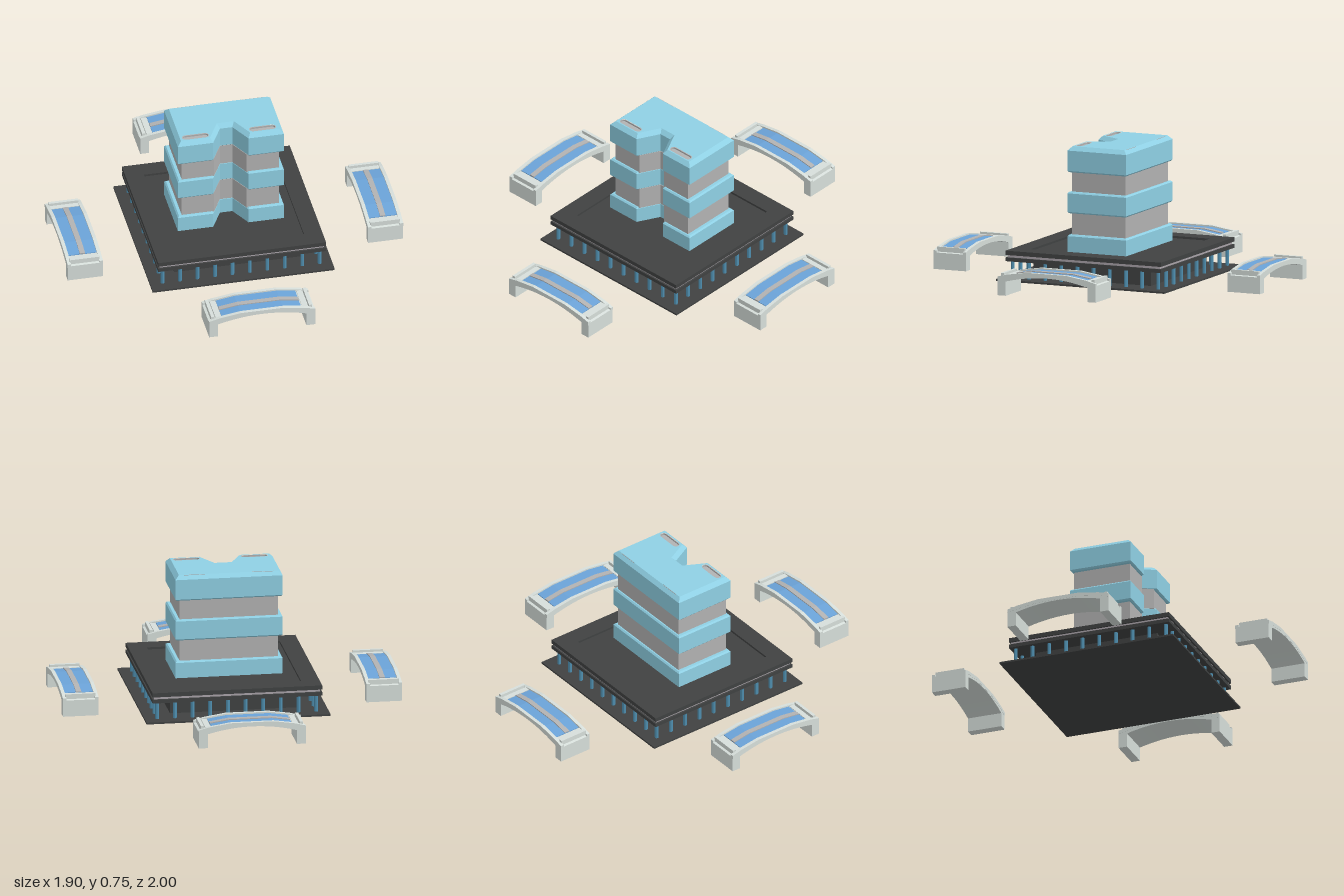
import * as THREE from 'three';

const mat = (color, extra = {}) => new THREE.MeshStandardMaterial({ color, flatShading: true, ...extra });
const BLUE = mat(0x8fd0e4), GREY = mat(0xb2b2b2), DARK = mat(0x404242), PILLAR = mat(0x4f8fb0);
const STONE = mat(0xd6deda), DECK = mat(0x6ba3d8), STRIP = mat(0xaaa4aa);

function add(parent, name, geometry, material, x = 0, y = 0, z = 0) {
  const mesh = new THREE.Mesh(geometry, material);
  mesh.name = name;
  mesh.position.set(x, y, z);
  parent.add(mesh);
  return mesh;
}

// Box standing between two heights
function slab(parent, name, w, d, y0, y1, material, x = 0, z = 0) {
  return add(parent, name, new THREE.BoxGeometry(w, y1 - y0, d), material, x, (y0 + y1) / 2, z);
}

const square = (h) => [[-h, -h], [h, -h], [h, h], [-h, h]].map(([x, y]) => new THREE.Vector2(x, y));

// Tower outline with the tapering notch in the front (y of the outline = z of the model)
function outline(hx, hz, inset = 0) {
  const side = (z) => 0.035 + (z - 0.055) * 0.52 + 1.13 * inset;
  const back = 0.055 - inset;
  return [[-hx, -hz], [hx, -hz], [hx, hz], [side(hz), hz], [side(back), back],
    [-side(back), back], [-side(hz), hz], [-hx, hz]].map(([x, z]) => new THREE.Vector2(x, z));
}

// Joins outlines stacked at rising heights; the ends are capped on request
function loft(levels, capTop = true) {
  const pos = [];
  const put = (p, y) => pos.push(p.x, y, p.y);
  for (let k = 0; k + 1 < levels.length; k++) {
    const [y0, a] = levels[k], [y1, b] = levels[k + 1];
    a.forEach((p, i) => {
      const j = (i + 1) % a.length;
      put(p, y0); put(b[i], y1); put(b[j], y1);
      put(p, y0); put(b[j], y1); put(a[j], y0);
    });
  }
  const cap = ([y, pts], up) => {
    for (const [a, b, c] of THREE.ShapeUtils.triangulateShape(pts, [])) {
      for (const i of up ? [a, c, b] : [a, b, c]) put(pts[i], y);
    }
  };
  cap(levels[0], false);
  if (capTop) cap(levels[levels.length - 1], true);
  const g = new THREE.BufferGeometry();
  g.setAttribute('position', new THREE.Float32BufferAttribute(pos, 3));
  g.computeVertexNormals();
  return g;
}

// Points of a capsule lying along x
function capsule(cx, cz, half, r) {
  const pts = [];
  for (let i = 0; i <= 15; i++) {
    const a = -Math.PI / 2 + (i > 7 ? i - 1 : i) * Math.PI / 7;
    pts.push(new THREE.Vector2(cx + (i > 7 ? -half : half) + r * Math.cos(a), cz + r * Math.sin(a)));
  }
  return pts;
}

// Flat shape in x and z, facing up
function flat(shape) {
  return new THREE.ShapeGeometry(shape).rotateX(Math.PI / 2);
}

function createTower() {
  const tower = new THREE.Group();
  tower.name = 'tower';
  const band = (i) => outline(0.30 - i, 0.18 - i, i);
  // Grey recessed storeys
  for (const [y0, y1] of [[0.25, 0.37], [0.49, 0.60]]) {
    const o = outline(0.275, 0.165);
    add(tower, 'recessedStorey', loft([[y0 - 0.005, o], [y1 + 0.005, o]]), GREY);
  }
  // Blue bands with softened edges
  const e = 0.008;
  add(tower, 'lowerBand', loft([[0.15, band(0)], [0.25 - e, band(0)], [0.25, band(e)]]), BLUE);
  add(tower, 'middleBand', loft([[0.37, band(e)], [0.37 + e, band(0)], [0.49 - e, band(0)], [0.49, band(e)]]), BLUE);
  add(tower, 'upperBand', loft([[0.60, band(e)], [0.60 + e, band(0)], [0.722, band(0)], [0.745, band(0.022)]], false), BLUE);
  // Roof with four rounded slots
  const roof = new THREE.Shape(band(0.022));
  const double = (m) => Object.assign(m.clone(), { side: THREE.DoubleSide });
  for (const x of [-0.19, 0.19]) for (const z of [-0.14, 0.13]) {
    roof.holes.push(new THREE.Path(capsule(x, z, 0.055, 0.021)));
    add(tower, 'roofSlotFloor', flat(new THREE.Shape(capsule(x, z, 0.055, 0.021))), double(GREY), 0, 0.735, 0);
    const wall = new THREE.Shape(capsule(x, z, 0.055, 0.021));
    wall.holes.push(new THREE.Path(capsule(x, z, 0.055, 0.016)));
    add(tower, 'roofSlotRim', new THREE.ExtrudeGeometry(wall, { depth: 0.01, bevelEnabled: false })
      .rotateX(Math.PI / 2), GREY, 0, 0.744, 0);
  }
  add(tower, 'roof', flat(roof), double(BLUE), 0, 0.745, 0);
  return tower;
}

function createPodium() {
  const podium = new THREE.Group();
  podium.name = 'podium';
  slab(podium, 'basePlate', 1.03, 1.03, 0, 0.01, DARK);
  slab(podium, 'podiumCore', 0.72, 0.72, 0.01, 0.11, DARK);
  slab(podium, 'lowerSlab', 0.95, 0.95, 0.107, 0.128, DARK);
  slab(podium, 'slabJoint', 0.93, 0.93, 0.128, 0.142, STRIP);
  slab(podium, 'terraceFloor', 0.76, 0.76, 0.14, 0.154, DARK);
  // Upper slab framing the sunken terrace
  const ring = new THREE.Shape(square(0.475));
  ring.holes.push(new THREE.Path(square(0.372)));
  add(podium, 'upperSlab', new THREE.ExtrudeGeometry(ring, { depth: 0.024, bevelEnabled: false })
    .rotateX(-Math.PI / 2), DARK, 0, 0.142, 0);
  // Pillars around the edge
  const pillar = new THREE.CylinderGeometry(0.011, 0.011, 0.1, 8);
  for (let i = 0; i < 10; i++) for (let j = 0; j < 10; j++) {
    if (i % 9 && j % 9) continue;
    add(podium, 'pillar', pillar, PILLAR, -0.445 + i * 0.0989, 0.06, -0.445 + j * 0.0989);
  }
  return podium;
}

// Height of the footbridge edge along its length
function crest(x) {
  const a = Math.abs(x);
  return a < 0.12 ? 0.138 : a < 0.24 ? 0.138 - (a - 0.12) * 0.15 : 0.12 - (a - 0.24) * 0.25;
}

function createBridge() {
  const bridge = new THREE.Group();
  bridge.name = 'footbridge';
  const extrude = (name, pts, width, material, z = 0) =>
    add(bridge, name, new THREE.ExtrudeGeometry(new THREE.Shape(pts.map((p) => new THREE.Vector2(...p))),
      { depth: width, bevelEnabled: false }), material, 0, 0, z - width / 2);
  // Strip that follows the crest between two offsets
  const strip = (name, half, lo, hi, width, material, z) => {
    const xs = [-half, -0.24, -0.12, 0.12, 0.24, half].filter((x) => Math.abs(x) <= half);
    extrude(name, [...xs.map((x) => [x, crest(x) + lo]), ...xs.reverse().map((x) => [x, crest(x) + hi])],
      width, material, z);
  };
  // Arched body with legs
  const body = [[-0.3, 0], [-0.25, 0], [-0.25, 0.08]];
  for (let i = 1; i < 12; i++) {
    const x = -0.25 + i * 0.5 / 12;
    body.push([x, 0.08 + 0.034 * (1 - (x / 0.25) ** 2)]);
  }
  body.push([0.25, 0.08], [0.25, 0], [0.3, 0]);
  for (const x of [0.3, 0.24, 0.12, -0.12, -0.24, -0.3]) body.push([x, crest(x) - 0.012]);
  extrude('bridgeArch', body, 0.198, STONE);
  // Deck, centre stripe and edge kerbs
  strip('bridgeDeck', 0.225, -0.016, -0.008, 0.162, DECK, 0);
  strip('bridgeStripe', 0.225, -0.014, -0.003, 0.03, GREY, 0);
  for (const s of [-1, 1]) {
    strip('bridgeKerb', 0.3, -0.02, 0, 0.02, STONE, s * 0.09);
    // Raised sill at each end
    slab(bridge, 'bridgeSill', 0.018, 0.168, 0.09, 0.124, STONE, s * 0.277);
    slab(bridge, 'bridgeLanding', 0.03, 0.16, 0.09, 0.114, STONE, s * 0.245);
  }
  return bridge;
}

export function createModel() {
  const model = new THREE.Group();
  model.name = 'officeTower';
  model.add(createPodium(), createTower());
  // A footbridge on each side
  for (const [x, z] of [[0, 0.9], [0, -0.9], [0.85, 0], [-0.85, 0]]) {
    const bridge = createBridge();
    bridge.position.set(x, 0, z);
    if (x) bridge.rotation.y = Math.PI / 2;
    model.add(bridge);
  }
  return model;
}
